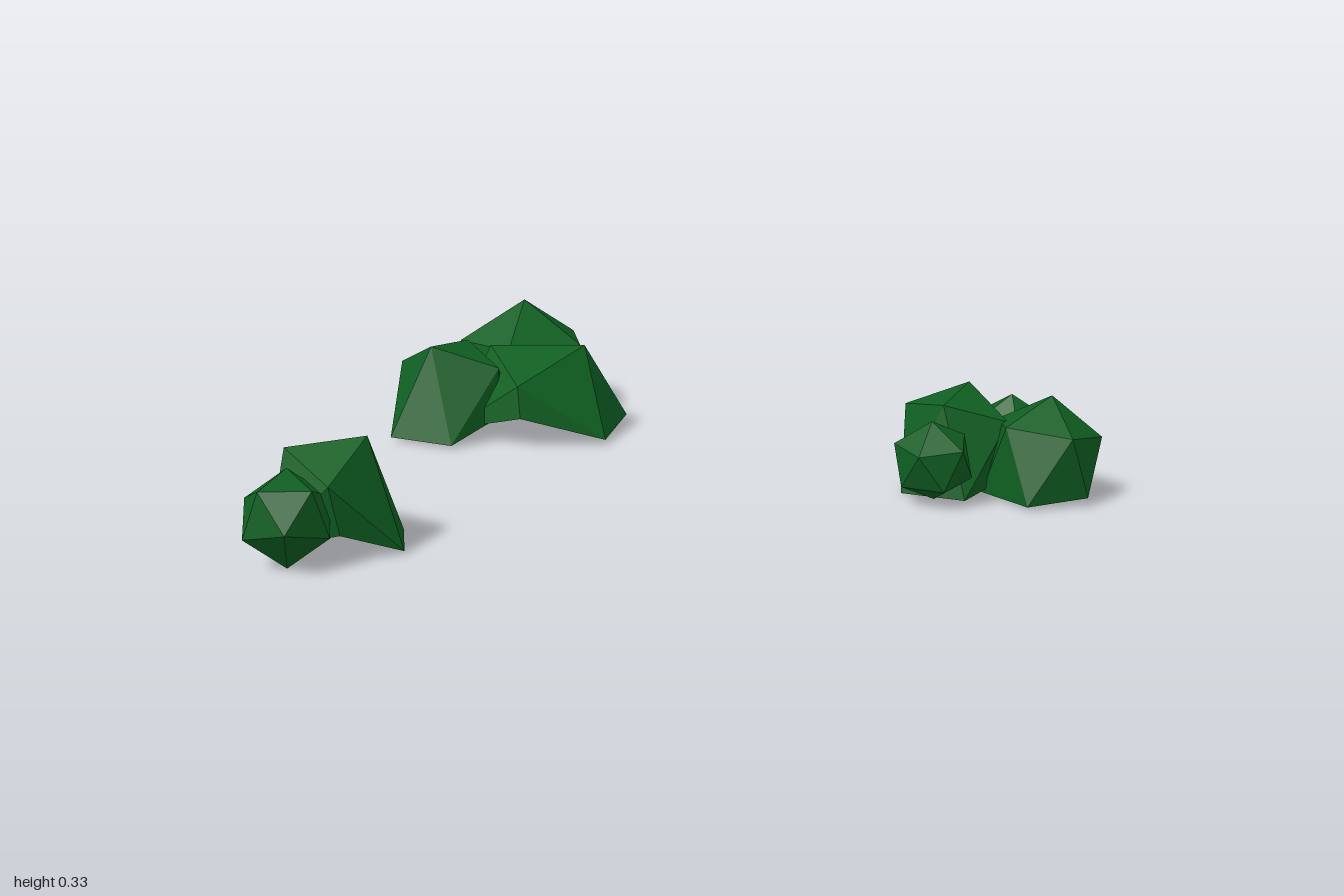
import * as THREE from 'three';

const leafGreen = new THREE.MeshStandardMaterial({ color: 0x0f5f22, flatShading: true });
leafGreen.name = 'leafGreen';

// Orthonormal frame with Y along one corner direction and X leaning to a neighbouring corner
function frame(axis, toward) {
  const y = axis.clone().normalize();
  const x = toward.clone().addScaledVector(y, -toward.dot(y)).normalize();
  return new THREE.Matrix4().makeBasis(x, y, x.clone().cross(y));
}

const T = (1 + Math.sqrt(5)) / 2;
const fromIcosahedron = frame(new THREE.Vector3(-1, T, 0), new THREE.Vector3(1, T, 0)).invert();

// Leafy clump: turned icosahedron. Corners just below the skirt height drop to the floor height,
// deeper ones fold up into a hollow underside.
function clump({ name, at, r, axis, toward, floor, skirt = floor }) {
  const geo = new THREE.IcosahedronGeometry(r, 0);
  geo.applyMatrix4(fromIcosahedron);
  geo.applyMatrix4(frame(new THREE.Vector3(...axis), new THREE.Vector3(...toward)));
  geo.translate(...at);
  const p = geo.attributes.position;
  for (let i = 0; i < p.count; i++) {
    const depth = skirt - p.getY(i);
    if (depth > 0) p.setY(i, floor + 0.5 * depth);
  }
  geo.computeVertexNormals();
  const mesh = new THREE.Mesh(geo, leafGreen);
  mesh.name = name;
  return mesh;
}

const bushes = {
  // Large bush at the back right
  largeBush: [
    { name: 'backClump', at: [-0.815, 0.137, -0.75], r: 0.217, axis: [0, 1, 0], toward: [1, 0, 0], floor: 0.04 },
    { name: 'middleClump', at: [-0.62, 0.045, -0.52], r: 0.266, axis: [0.11, 0.21, -0.047], toward: [-0.081, 0.19, 0.013], floor: 0.01, skirt: 0.12 },
    { name: 'frontClump', at: [-0.82, 0.125, -0.355], r: 0.19, axis: [0, 0.175, 0.09], toward: [0.15, 0.11, -0.01], floor: 0.03, skirt: 0.15 },
  ],
  // Small bush at the front
  smallBush: [
    { name: 'mainClump', at: [-0.442, 0.122, 0.655], r: 0.182, axis: [0.07, 0.17, -0.04], toward: [-0.08, 0.155, 0.07], floor: 0.01, skirt: 0.18 },
    { name: 'sideClump', at: [-0.443, 0.135, 0.83], r: 0.113, axis: [-0.02, 0.09, -0.03], toward: [0, 0.02, 0.1], floor: 0.03 },
  ],
  // Medium bush at the back left
  mediumBush: [
    { name: 'mainClump', at: [0.64, 0.14, -0.52], r: 0.164, axis: [0.01, 0.15, -0.06], toward: [-0.15, 0.08, 0.02], floor: 0.015, skirt: 0.145 },
    { name: 'outerClump', at: [0.865, 0.13, -0.535], r: 0.157, axis: [0.01, 0.14, -0.02], toward: [0.13, 0.06, -0.07], floor: 0.015, skirt: 0.12 },
    { name: 'backClump', at: [0.725, 0.12, -0.72], r: 0.122, axis: [0, 1, 0.1], toward: [0.5, 0, 1], floor: 0.03 },
    { name: 'frontClump', at: [0.645, 0.135, -0.345], r: 0.106, axis: [0, 0.03, 0.1], toward: [0, 0.1, 0.02], floor: 0.03 },
  ],
};

export function createModel() {
  const model = new THREE.Group();
  model.name = 'bushes';
  for (const [name, clumps] of Object.entries(bushes)) {
    const bush = new THREE.Group();
    bush.name = name;
    clumps.forEach((c) => bush.add(clump(c)));
    model.add(bush);
  }
  return model;
}
